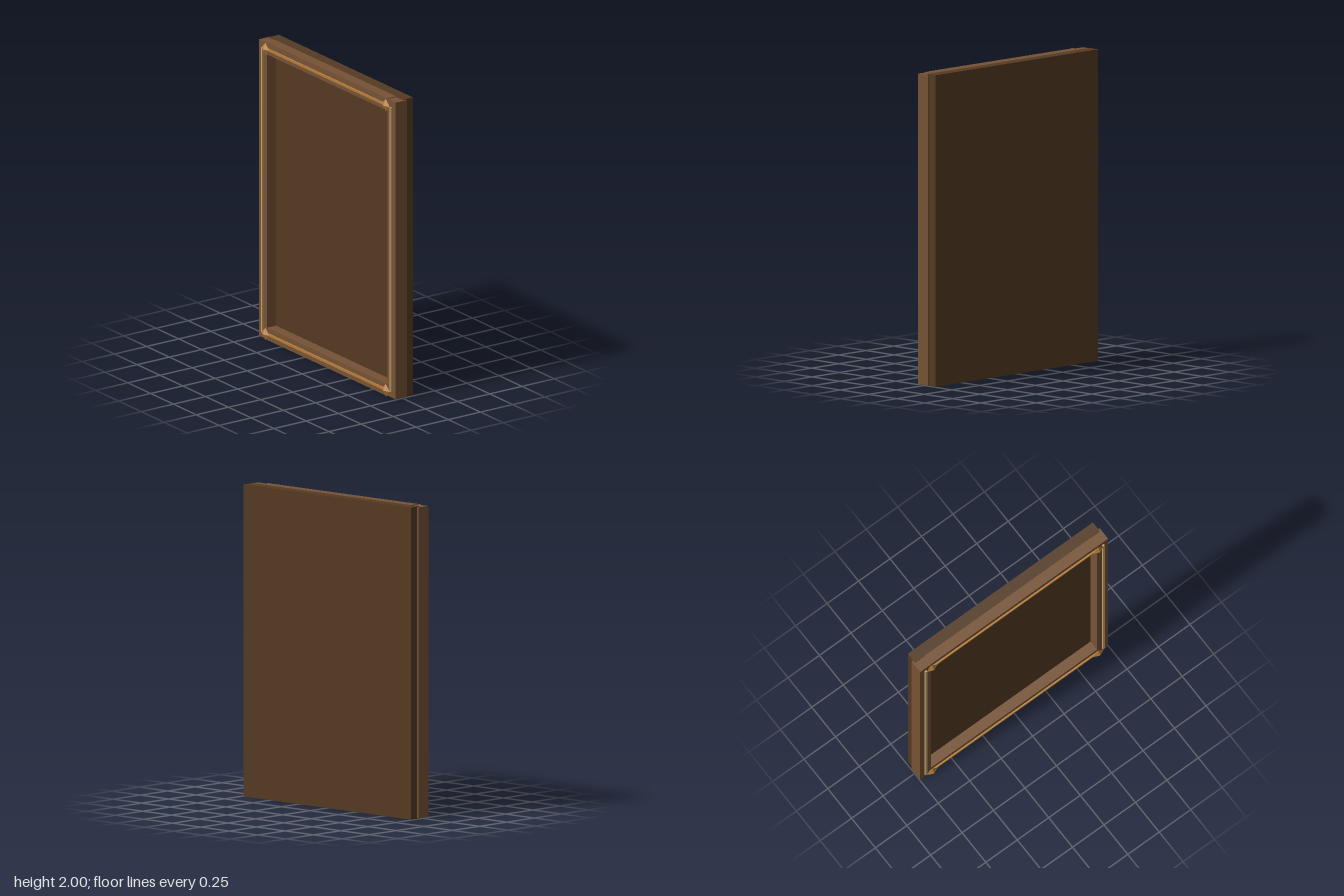
import * as THREE from 'three';

const mat = (name, color) => {
  const m = new THREE.MeshStandardMaterial({ color });
  m.name = name;
  return m;
};

export function createModel() {
  const wood = mat('frame wood', 0x765236);
  const darkWood = mat('dark panel wood', 0x543a22);
  const bronze = mat('bronze', 0xb57c38);
  const gold = mat('pale gold', 0xc9a868);

  const group = new THREE.Group();
  group.name = 'framedPanel';

  const add = (name, geometry, material, x, y, z) => {
    const mesh = new THREE.Mesh(geometry, material);
    mesh.name = name;
    mesh.position.set(x, y, z);
    group.add(mesh);
    return mesh;
  };
  const box = (w, h, d) => new THREE.BoxGeometry(w, h, d);

  // Backing panel
  add('backPanel', box(1.47, 2, 0.075), darkWood, 0, 1, -0.0525);

  // Flattened four-sided stud, shared by all corners
  const stud = new THREE.OctahedronGeometry(0.043);
  stud.scale(1, 1, 0.45);
  stud.computeVertexNormals();

  for (const [side, sx] of [['left', 1], ['right', -1]]) {
    // Upright of the frame with its inlaid strip
    add(side + 'Stile', box(0.087, 1.992, 0.09), wood, sx * 0.7035, 1, 0.01);
    add(side + 'Trim', box(0.014, 1.91, 0.012), gold, sx * 0.705, 1, 0.06);
  }

  for (const [end, sy] of [['top', 1], ['bottom', -1]]) {
    // Crosspiece of the frame with its inlaid strip
    add(end + 'Rail', box(1.32, 0.082, 0.07), wood, 0, 1 + sy * 0.959, 0.02);
    add(end + 'Trim', box(1.32, 0.014, 0.013), bronze, 0, 1 + sy * 0.957, 0.0605);

    // Corner studs
    for (const [side, sx] of [['Left', 1], ['Right', -1]]) {
      add(end + side + 'Stud', stud, bronze, sx * 0.66, 1 + sy * 0.957, 0.068);
    }
  }

  return group;
}
